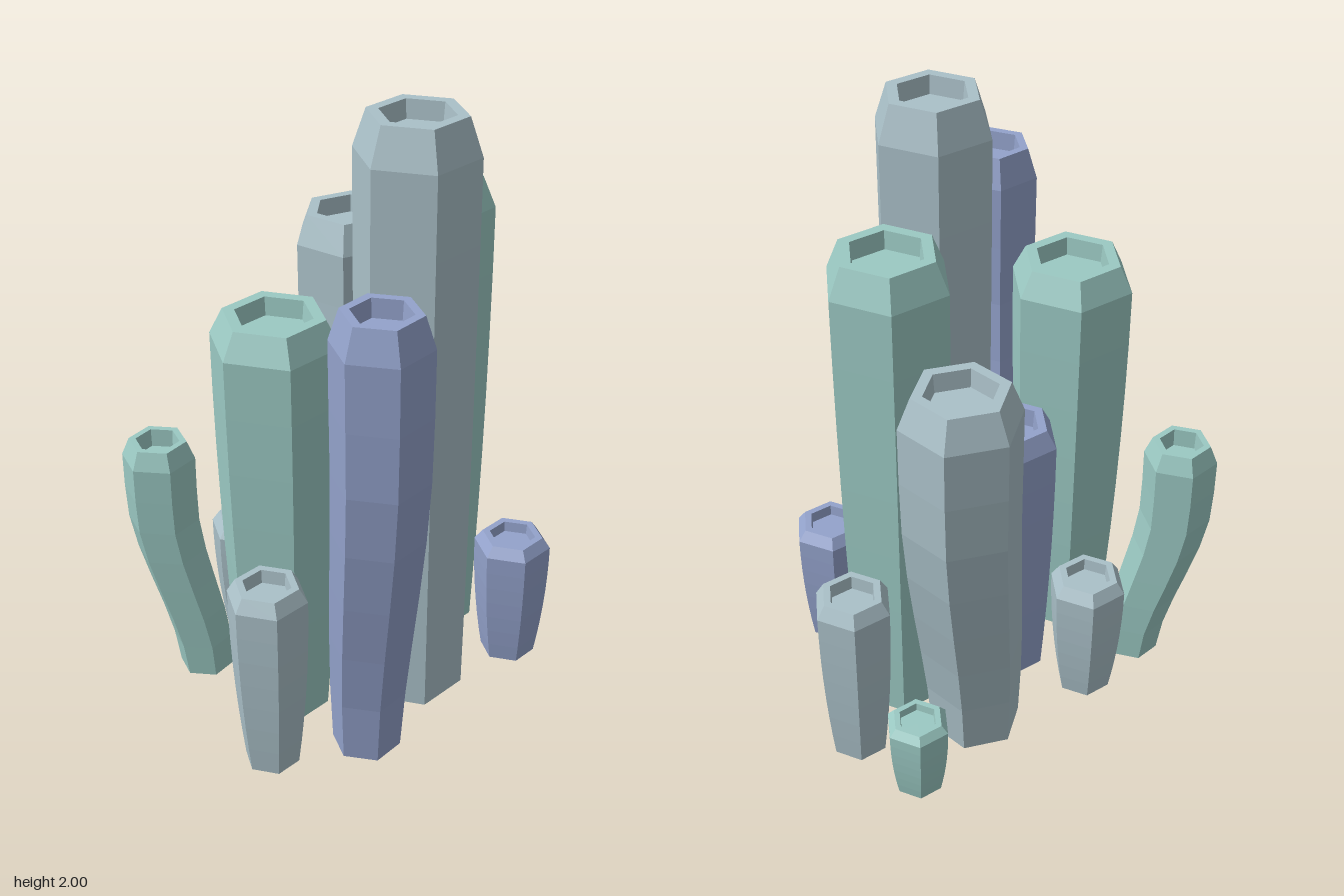
import * as THREE from 'three';

const materials = {
  grey: new THREE.MeshStandardMaterial({ color: 0xaac0c8, flatShading: true }),
  teal: new THREE.MeshStandardMaterial({ color: 0x9bc9c3, flatShading: true }),
  blue: new THREE.MeshStandardMaterial({ color: 0x93a2cb, flatShading: true }),
};

// Hexagonal column: flared shaft, chamfered rim and a shallow hollow in the top.
// base is the foot's centre [x, z] when the column leans; turn is in degrees.
function column({ name, color, top, base = top, height, radius, foot, chamfer, turn = 0 }) {
  const shaft = height - chamfer;
  const depth = Math.min(0.06, chamfer);
  const points = [[0, 0]];
  const steps = 7;
  for (let i = 0; i <= steps; i++) {
    const t = i / steps;
    points.push([foot + (radius - foot) * (1 - (1 - t) ** 2), shaft * t]);
  }
  points.push(
    [radius * 0.79, height],
    [radius * 0.6, height],
    [radius * 0.57, height - depth],
    [0, height - depth],
  );
  const geometry = new THREE.LatheGeometry(
    points.map(([r, y]) => new THREE.Vector2(r, y)),
    6,
    THREE.MathUtils.degToRad(30 + turn),
  );

  // Slide each level sideways along an S-shaped lean
  const pos = geometry.attributes.position;
  for (let i = 0; i < pos.count; i++) {
    const s = THREE.MathUtils.smoothstep(pos.getY(i) / height, 0, 0.75);
    pos.setX(i, pos.getX(i) + base[0] + (top[0] - base[0]) * s);
    pos.setZ(i, pos.getZ(i) + base[1] + (top[1] - base[1]) * s);
  }
  geometry.computeVertexNormals();

  const mesh = new THREE.Mesh(geometry, materials[color]);
  mesh.name = name;
  return mesh;
}

const columns = [
  // Tall upright columns
  { name: 'tallestColumn', color: 'grey', top: [0.01, 0.2], height: 2, radius: 0.193, foot: 0.18, chamfer: 0.12 },
  { name: 'rightTallColumn', color: 'teal', top: [0.325, -0.017], height: 1.67, radius: 0.2, foot: 0.165, chamfer: 0.1 },
  { name: 'leftTallColumn', color: 'teal', top: [-0.365, -0.017], height: 1.42, radius: 0.203, foot: 0.15, chamfer: 0.085 },
  { name: 'middleColumn', color: 'blue', top: [-0.045, -0.127], height: 0.98, radius: 0.159, foot: 0.125, chamfer: 0.06 },
  // Leaning columns
  { name: 'backLeaningColumn', color: 'grey', top: [0.35, -0.42], base: [0.23, -0.32], height: 1.42, radius: 0.187, foot: 0.148, chamfer: 0.1, turn: -20 },
  { name: 'frontLeaningColumn', color: 'blue', top: [-0.407, 0.462], base: [-0.335, 0.335], height: 1.61, radius: 0.152, foot: 0.11, chamfer: 0.1, turn: 3 },
  { name: 'backLeftLeaningColumn', color: 'teal', top: [-0.507, -0.427], base: [-0.425, -0.34], height: 0.88, radius: 0.119, foot: 0.09, chamfer: 0.06, turn: 8 },
  // Short outer columns
  { name: 'backShortColumn', color: 'grey', top: [-0.178, -0.383], height: 0.46, radius: 0.128, foot: 0.09, chamfer: 0.04 },
  { name: 'rightFlankShortColumn', color: 'grey', top: [-0.602, 0.178], height: 0.67, radius: 0.128, foot: 0.088, chamfer: 0.045 },
  { name: 'leftFlankShortColumn', color: 'grey', top: [0.597, -0.184], height: 0.635, radius: 0.128, foot: 0.092, chamfer: 0.045 },
  { name: 'frontShortColumn', color: 'blue', top: [0.356, 0.344], height: 0.465, radius: 0.128, foot: 0.092, chamfer: 0.035 },
  { name: 'smallestColumn', color: 'teal', top: [0.54, -0.445], height: 0.28, radius: 0.104, foot: 0.076, chamfer: 0.025 },
];

export function createModel() {
  const group = new THREE.Group();
  group.name = 'columnCluster';
  for (const spec of columns) group.add(column(spec));
  return group;
}
